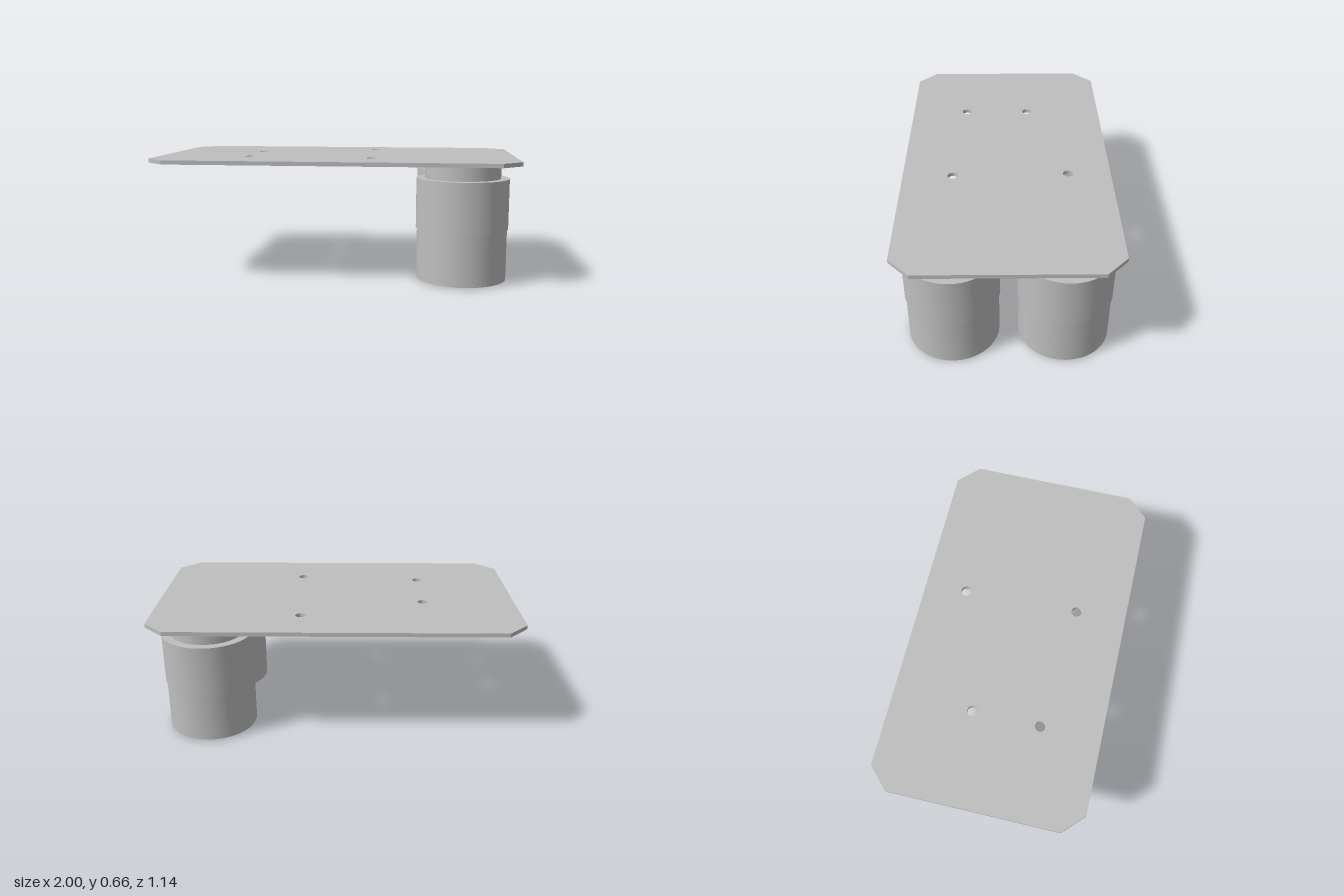
import * as THREE from 'three';
import { toCreasedNormals } from 'three/addons/utils/BufferGeometryUtils.js';

const PLATE_Y = 0.64;

// Solid of revolution from a bottom-to-top [radius, y] profile, with crisp edges
function turned(name, profile, material) {
  const points = profile.map(([r, y]) => new THREE.Vector2(r, y));
  const geometry = toCreasedNormals(new THREE.LatheGeometry(points, 64), 0.6);
  const mesh = new THREE.Mesh(geometry, material);
  mesh.name = name;
  return mesh;
}

// One stepped foot: base with a recessed boss, wider collar, narrow neck
function makeFoot(name, x, z, material) {
  const foot = new THREE.Group();
  foot.name = name;
  foot.add(
    turned('base', [
      [0, 0.03], [0.1, 0.03], [0.1, 0], [0.13, 0], [0.13, 0.007],
      [0.244, 0.007], [0.244, 0.285],
    ], material),
    turned('collar', [
      [0.244, 0.285], [0.25, 0.285], [0.25, 0.56], [0.204, 0.56],
    ], material),
    turned('neck', [[0.204, 0.56], [0.204, PLATE_Y]], material),
  );
  foot.position.set(x, 0, z);
  return foot;
}

// Flat plate with chamfered corners and four through holes
function makePlate(material) {
  const w = 1, d = 0.572, c = 0.11;
  const shape = new THREE.Shape([
    [-w + c, -d], [w - c, -d], [w, -d + c], [w, d - c],
    [w - c, d], [-w + c, d], [-w, d - c], [-w, -d + c],
  ].map(([x, y]) => new THREE.Vector2(x, y)));

  // Hole centres as [x, z]
  for (const [x, z] of [[-0.487, -0.13], [-0.487, 0.242], [0.19, -0.337], [0.205, 0.297]]) {
    const hole = new THREE.Path();
    hole.absarc(x, -z, 0.028, 0, Math.PI * 2, true);
    shape.holes.push(hole);
  }

  const extruded = new THREE.ExtrudeGeometry(shape, {
    depth: 0.022, bevelEnabled: false, curveSegments: 24,
  });
  extruded.rotateX(-Math.PI / 2);
  const plate = new THREE.Mesh(toCreasedNormals(extruded, 0.6), material);
  plate.name = 'plate';
  plate.position.y = PLATE_Y;
  return plate;
}

export function createModel() {
  const metal = new THREE.MeshStandardMaterial({ color: 0xbfbfbf });
  metal.name = 'light grey metal';

  const model = new THREE.Group();
  model.name = 'plateWithFeet';
  model.add(
    makePlate(metal),
    makeFoot('frontFoot', 0.703, 0.289, metal),
    makeFoot('backFoot', 0.703, -0.301, metal),
  );
  return model;
}
